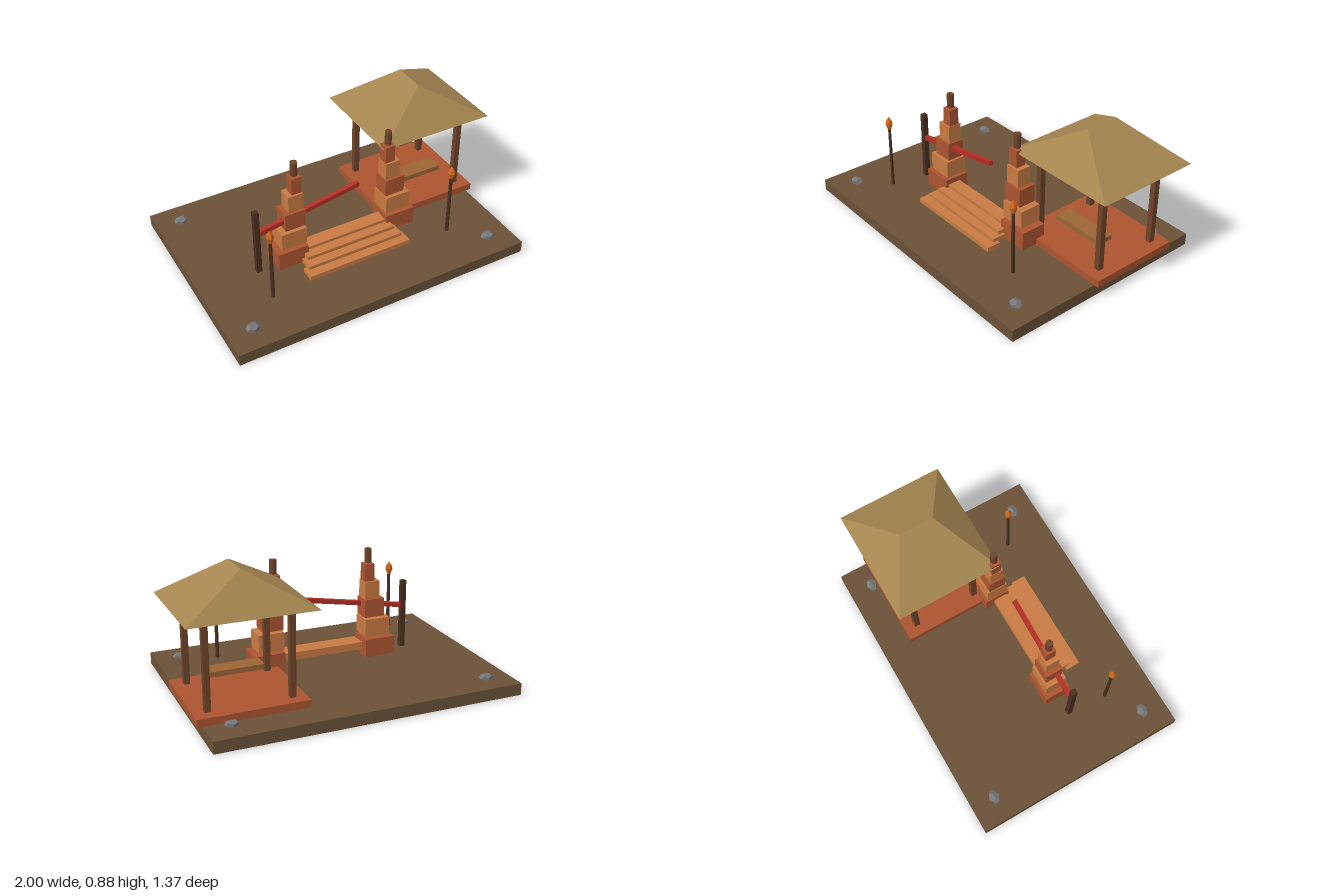
import * as THREE from 'three';

const mat = (color, extra = {}) => {
  const m = new THREE.MeshStandardMaterial({ color, flatShading: true, ...extra });
  return m;
};
const M = {
  earth: mat(0x6b5138), brick: mat(0xac5430), clay: mat(0xc87a42),
  wood: mat(0x6e432a), darkWood: mat(0x4a2f1e), plank: mat(0x9a6535),
  thatch: mat(0xa58550, { side: THREE.DoubleSide }),
  red: mat(0xb23026), flame: mat(0xd0661c), stone: mat(0x77777a),
};

function add(parent, name, geometry, material) {
  const mesh = new THREE.Mesh(geometry, material);
  mesh.name = name;
  parent.add(mesh);
  return mesh;
}

// Box given by its extents on each axis
function block(parent, name, material, [x0, x1], [y0, y1], [z0, z1]) {
  const mesh = add(parent, name, new THREE.BoxGeometry(x1 - x0, y1 - y0, z1 - z0), material);
  mesh.position.set((x0 + x1) / 2, (y0 + y1) / 2, (z0 + z1) / 2);
  return mesh;
}

function group(parent, name) {
  const g = new THREE.Group();
  g.name = name;
  parent.add(g);
  return g;
}

// Hollow hipped roof with its ridge along z
function hipRoof([x0, x1], [y0, y1], [z0, z1], [r0, r1]) {
  const xm = (x0 + x1) / 2;
  const a = [x0, y0, z1], b = [x1, y0, z1], c = [x1, y0, z0], d = [x0, y0, z0];
  const front = [xm, y1, r1], back = [xm, y1, r0];
  const faces = [a, b, front, b, c, back, b, back, front, c, d, back, d, a, front, d, front, back];
  const g = new THREE.BufferGeometry();
  g.setAttribute('position', new THREE.Float32BufferAttribute(faces.flat(), 3));
  g.computeVertexNormals();
  return g;
}

// Stepped gate pillar; side = -1 or 1 about the gate centre
function pillar(parent, side) {
  const g = group(parent, side < 0 ? 'rightPillar' : 'leftPillar');
  const mid = -0.04;
  // inner offset, outer offset, bottom, top, half depth
  const tiers = [
    [0.273, 0.47, 0.087, 0.204, 0.083],
    [0.275, 0.44, 0.22, 0.333, 0.069],
    [0.275, 0.407, 0.343, 0.459, 0.056],
    [0.28, 0.378, 0.46, 0.574, 0.044],
    [0.283, 0.348, 0.574, 0.684, 0.032],
  ];
  tiers.forEach(([inner, outer, y0, y1, d], i) => {
    const xs = [mid + side * inner, mid + side * outer].sort((p, q) => p - q);
    block(g, 'pillarTier', i % 2 ? M.clay : M.brick, xs, [y0, y1], [0.113 - d, 0.113 + d]);
  });
  const cap = add(g, 'pillarFinial', new THREE.CylinderGeometry(0.022, 0.022, 0.09, 10), M.wood);
  cap.position.set(mid + side * 0.316, 0.735, 0.113);
}

function torch(parent, x) {
  const g = group(parent, 'torch');
  g.position.set(x, 0, 0.382);
  add(g, 'torchPole', new THREE.CylinderGeometry(0.01, 0.012, 0.41, 6), M.darkWood).position.y = 0.303;
  const profile = [[0, 0.502], [0.012, 0.505], [0.024, 0.542], [0.018, 0.563], [0, 0.59]];
  add(g, 'torchFlame', new THREE.LatheGeometry(profile.map(p => new THREE.Vector2(...p)), 6), M.flame);
}

export function createModel() {
  const model = new THREE.Group();
  model.name = 'gateScene';

  block(model, 'ground', M.earth, [-1, 0.92], [0, 0.075], [-0.685, 0.685]);

  // Pavilion
  const pavilion = group(model, 'pavilion');
  block(pavilion, 'pavilionFloor', M.brick, [0.285, 0.952], [0.077, 0.123], [-0.5, 0.09]);
  for (const x of [0.365, 0.867])
    for (const z of [0.005, -0.414])
      block(pavilion, 'pavilionPost', M.wood, [x - 0.018, x + 0.018], [0.12, 0.675], [z - 0.018, z + 0.018]);
  block(pavilion, 'bench', M.plank, [0.44, 0.792], [0.206, 0.238], [-0.163, -0.054]);
  add(pavilion, 'pavilionRoof', hipRoof([0.238, 1], [0.663, 0.88], [-0.543, 0.13], [-0.315, -0.098]), M.thatch);

  // Gate pillars and stairs
  pillar(model, -1);
  pillar(model, 1);
  const stairs = group(model, 'stairs');
  const steps = [
    [0.344, 0.077, 0.107, 0.265, 0.355],
    [0.322, 0.093, 0.129, 0.207, 0.297],
    [0.301, 0.108, 0.151, 0.148, 0.24],
    [0.28, 0.122, 0.17, 0.09, 0.178],
  ];
  for (const [half, y0, y1, z0, z1] of steps)
    block(stairs, 'step', M.clay, [-0.04 - half, -0.04 + half], [y0, y1], [z0, z1]);

  // Raised barrier
  const barrier = group(model, 'barrier');
  block(barrier, 'barrierPost', M.darkWood, [-0.635, -0.602], [0.086, 0.535], [0.117, 0.15]);
  const bar = add(barrier, 'barrierArm', new THREE.BoxGeometry(0.68, 0.028, 0.028), M.red);
  bar.position.set(-0.273, 0.429, 0.133);
  bar.rotation.z = 0.175;

  torch(model, -0.645);
  torch(model, 0.561);

  // Corner rocks
  for (const x of [-0.845, 0.765])
    for (const z of [-0.537, 0.535]) {
      const rock = add(model, 'rock', new THREE.DodecahedronGeometry(0.045, 0), M.stone);
      rock.scale.set(1, 0.6, 0.8);
      rock.position.set(x, 0.082, z);
    }

  return model;
}
